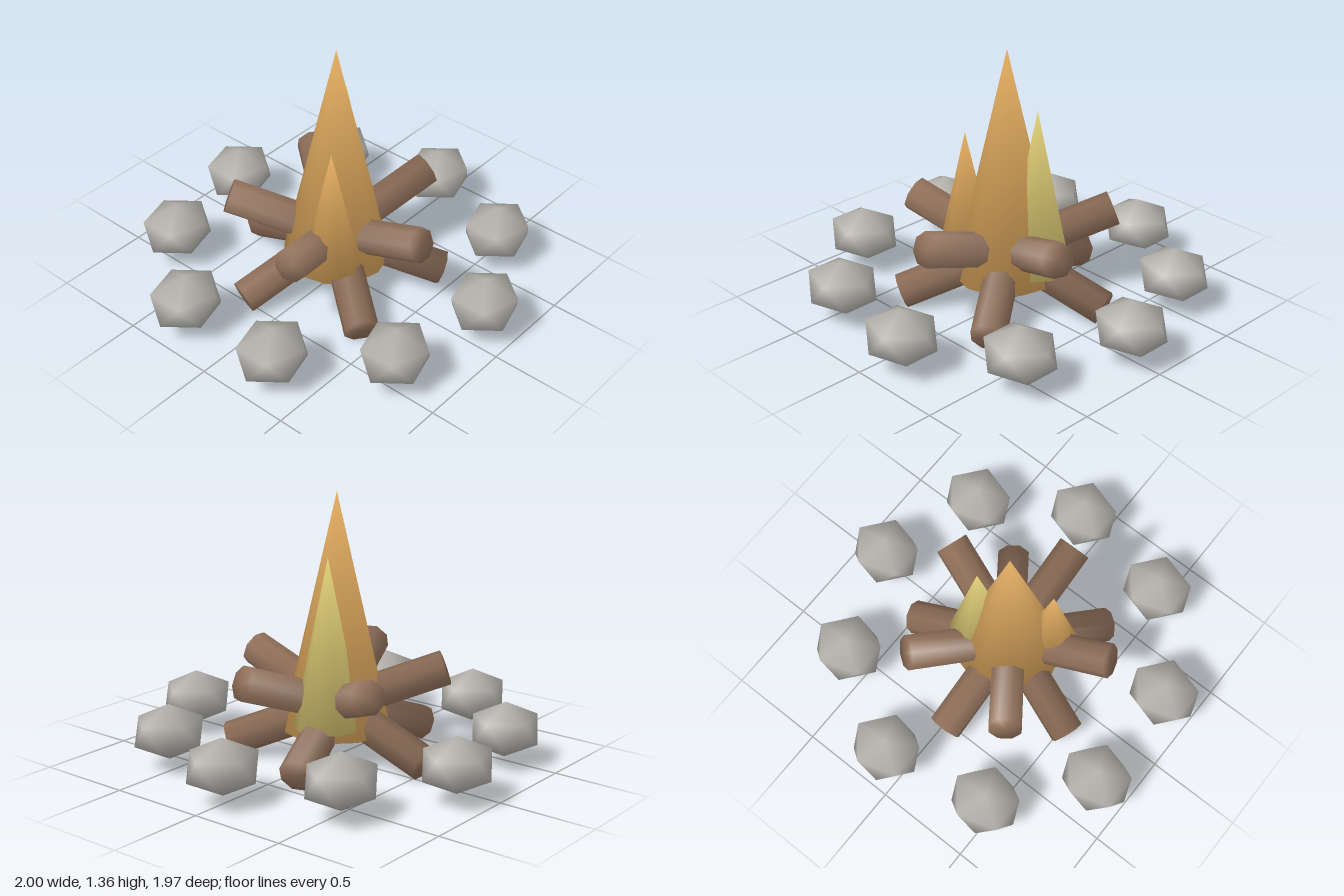
import * as THREE from 'three';
import { mergeVertices } from 'three/addons/utils/BufferGeometryUtils.js';

const CENTRE_X = -0.03;
const rad = THREE.MathUtils.degToRad;

// Rounds the shading over the end caps: every rim normal leans outward along the axis.
function softenCaps(geometry, lean) {
  const p = geometry.attributes.position;
  const n = new THREE.Vector3();
  for (let i = 0; i < p.count; i++) {
    const r = Math.hypot(p.getX(i), p.getZ(i));
    const onAxis = r < 1e-5;
    n.set(onAxis ? 0 : p.getX(i) / r, Math.sign(p.getY(i)) * lean, onAxis ? 0 : p.getZ(i) / r);
    n.normalize();
    geometry.attributes.normal.setXYZ(i, n.x, n.y, n.z);
  }
  return geometry;
}

// Smooth twelve-cornered boulder, standing on one corner.
function stoneGeometry() {
  let g = new THREE.IcosahedronGeometry(1, 0);
  g.deleteAttribute('normal');
  g.deleteAttribute('uv');
  g = mergeVertices(g, 1e-4);
  g.rotateZ(-Math.atan(2 / (1 + Math.sqrt(5))));
  g.scale(0.201, 0.143, 0.182);
  g.computeVertexNormals();
  return g;
}

export function createModel() {
  const material = (name, color) => {
    const m = new THREE.MeshStandardMaterial({ color });
    m.name = name;
    return m;
  };
  const stoneGrey = material('stone grey', 0xb2afa9);
  const barkBrown = material('bark brown', 0x8f6f59);
  const flameOrange = material('flame orange', 0xe0aa5e);
  const flameYellow = material('flame yellow', 0xddcb74);

  const model = new THREE.Group();
  model.name = 'campfire';
  const add = (parent, name, geometry, mat, x, y, z) => {
    const mesh = new THREE.Mesh(geometry, mat);
    mesh.name = name;
    mesh.position.set(x, y, z);
    parent.add(mesh);
    return mesh;
  };
  const group = (name) => {
    const g = new THREE.Group();
    g.name = name;
    model.add(g);
    return g;
  };

  // Ring of nine stones, all facing the same way
  const stones = group('stoneRing');
  const stoneGeo = stoneGeometry();
  for (let i = 0; i < 9; i++) {
    const a = rad(40 * i);
    add(stones, 'stone', stoneGeo, stoneGrey,
      CENTRE_X + 0.845 * Math.cos(a), 0.183, 0.845 * Math.sin(a));
  }

  // Five long logs crossing at the centre, each with one end raised
  const logs = group('logs');
  const logGeo = softenCaps(new THREE.CylinderGeometry(0.0895, 0.0895, 1.154, 8), 0.8);
  logGeo.rotateY(Math.PI / 8);
  logGeo.rotateX(rad(70));
  for (let i = 0; i < 5; i++) {
    add(logs, 'log', logGeo, barkBrown, CENTRE_X, 0.275, 0).rotation.y = rad(72 * i);
  }

  // Flames: name, material, radius, sides, bottom, top, x, z
  const flames = group('flames');
  for (const [name, mat, r, sides, bottom, top, x, z] of [
    ['mainFlame', flameOrange, 0.275, 12, 0.155, 1.355, CENTRE_X, 0],
    ['smallFlame', flameOrange, 0.145, 10, 0.25, 0.905, -0.205, 0.12],
    ['yellowFlame', flameYellow, 0.17, 10, 0.21, 1.06, 0.118, -0.063],
  ]) {
    const cone = softenCaps(new THREE.ConeGeometry(r, top - bottom, sides), 0.6);
    add(flames, name, cone, mat, x, (top + bottom) / 2, z);
  }

  return model;
}
